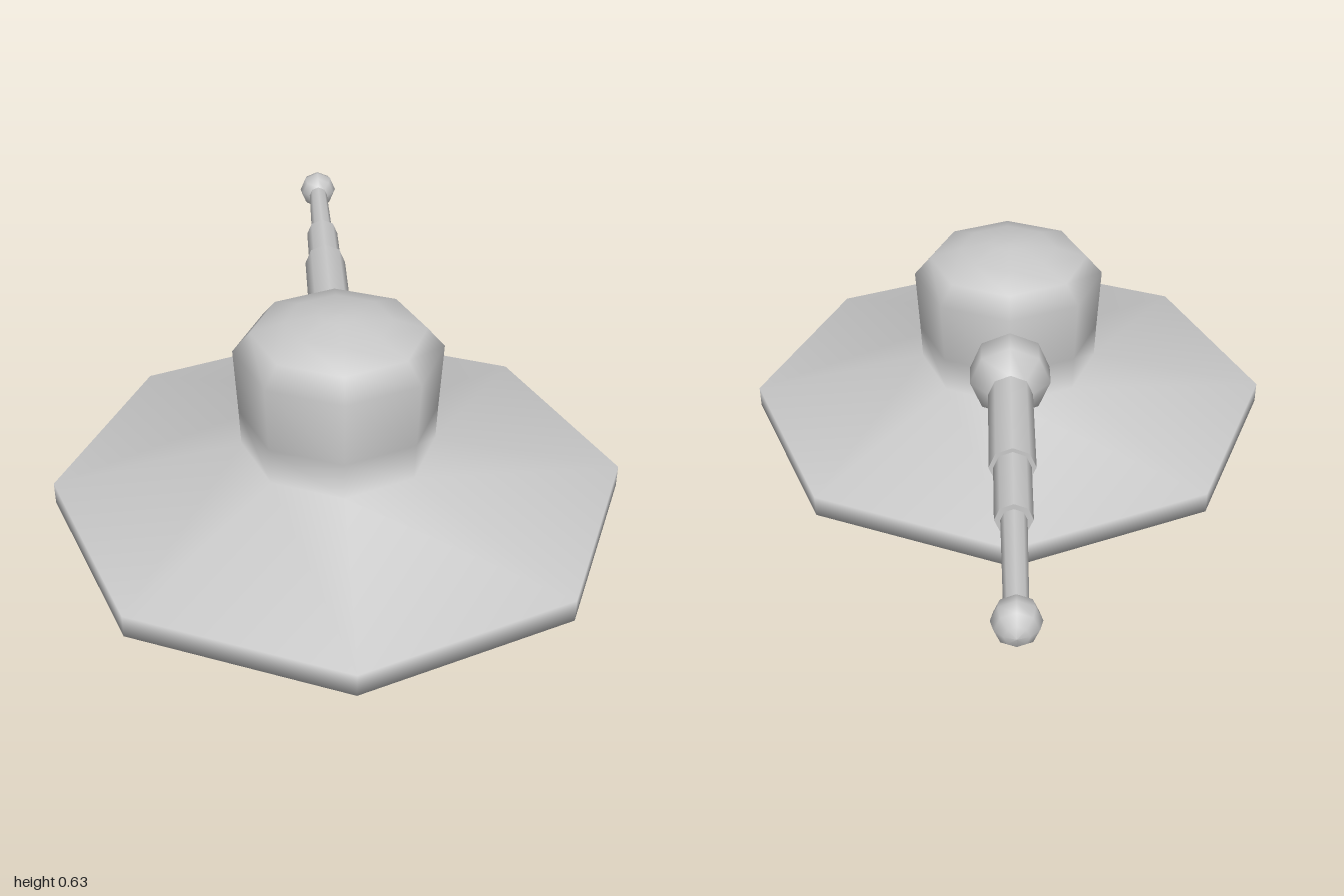
import * as THREE from 'three';

const SIDES = 8;
const BARREL_Y = 0.41;

// Eight-sided turned solid from [radius, height] points, bottom to top
function turned(name, points, material) {
  const profile = points.map(([r, h]) => new THREE.Vector2(r, h));
  const mesh = new THREE.Mesh(new THREE.LatheGeometry(profile, SIDES), material);
  mesh.name = name;
  return mesh;
}

// Turned solid lying along the barrel axis, pointing backwards (-z)
function alongBarrel(name, points, z, material) {
  const mesh = turned(name, points, material);
  mesh.rotation.x = -Math.PI / 2;
  mesh.position.set(0, BARREL_Y, z);
  return mesh;
}

// Low-poly ball profile with rounded steps
function ballProfile(r, rings = 6) {
  return Array.from({ length: rings + 1 }, (_, i) => {
    const a = (i / rings) * Math.PI;
    return [i % rings ? r * Math.sin(a) : 0, -r * Math.cos(a)];
  });
}

export function createModel() {
  const model = new THREE.Group();
  model.name = 'turret';
  const grey = new THREE.MeshStandardMaterial({ color: 0xc8c8c8 });
  grey.name = 'light grey';

  // Wide saucer base flowing smoothly into the domed tower
  const body = turned('baseAndTower', [
    [0, 0], [0.24, 0.003], [0.716, 0.108], [0.716, 0.166],
    [0.242, 0.273], [0.246, 0.37], [0.255, 0.538],
    [0.212, 0.588], [0.13, 0.614], [0.05, 0.631], [0, 0.632],
  ], grey);
  body.position.z = 0.281;
  model.add(body);

  // Ball joint at the back of the tower
  model.add(alongBarrel('ballJoint', [
    [0, -0.1], [0.055, -0.093], [0.104, -0.037], [0.104, 0.037], [0.055, 0.093], [0, 0.1],
  ], -0.03, grey));

  // Telescoping barrel: [name, start radius, end radius, start, end] along -z
  const sections = [
    ['barrelThick', 0.057, 0.057, 0.07, 0.427],
    ['barrelMiddle', 0.046, 0.045, 0.4, 0.62],
    ['barrelThin', 0.031, 0.027, 0.6, 0.93],
  ];
  for (const [name, r0, r1, start, end] of sections) {
    const geometry = new THREE.CylinderGeometry(r1, r0, end - start, SIDES);
    const mesh = new THREE.Mesh(geometry, grey);
    mesh.name = name;
    mesh.rotation.x = -Math.PI / 2;
    mesh.position.set(0, BARREL_Y, -(start + end) / 2);
    model.add(mesh);
  }

  // Ball at the muzzle
  model.add(alongBarrel('muzzleBall', ballProfile(0.055), -0.944, grey));

  return model;
}
